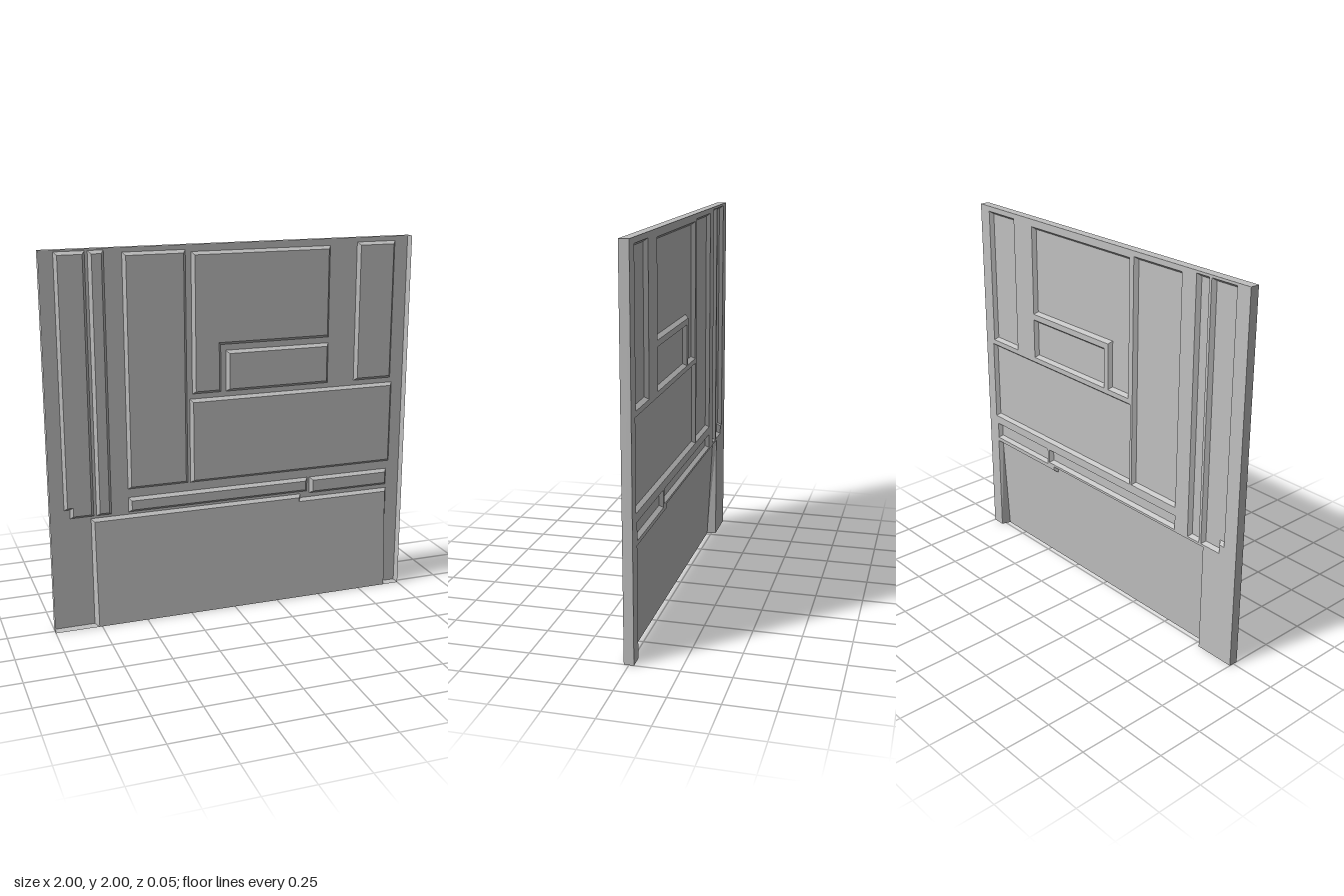
import * as THREE from 'three';

const BACK = -0.025, FRONT = 0.025, RAISED = -0.005, BEVEL = 0.015;

const rect = (x0, x1, y0, y1) => [[x0, y0], [x1, y0], [x1, y1], [x0, y1]];

// Counter-clockwise outlines of the pressed panels
const PANELS = {
  tallNotchedPanel: [[-0.89, 0.61], [-0.765, 0.61], [-0.765, 1.987], [-0.92, 1.987], [-0.92, 0.658], [-0.89, 0.658]],
  tallNarrowPanel: rect(-0.75, -0.67, 0.61, 1.987),
  tallWidePanel: rect(-0.578, -0.25, 0.737, 1.972),
  steppedUpperPanel: [[-0.22, 1.22], [-0.063, 1.22], [-0.063, 1.472], [0.548, 1.472], [0.548, 1.96], [-0.22, 1.96]],
  smallCentrePanel: rect(-0.035, 0.548, 1.22, 1.44),
  wideMiddlePanel: rect(-0.235, 0.936, 0.736, 1.193),
  tallSidePanel: rect(0.703, 0.925, 1.22, 1.972),
  longStripPanel: rect(-0.578, 0.438, 0.61, 0.69),
  shortStripPanel: rect(0.452, 0.922, 0.597, 0.69),
};
// Lower panel is open along the floor and leans forward
const LOWER = [[-0.78, 0], [0.925, 0], [0.925, 0.575], [0.4, 0.575], [0.4, 0.597], [-0.78, 0.597]];

const toVectors = (pts) => pts.map(([x, y]) => new THREE.Vector2(x, y));

// Move every edge of a right-angled outline inward by d
function inset(pts, d) {
  const n = pts.length;
  const normal = (a, b) => {
    const dx = b[0] - a[0], dy = b[1] - a[1], l = Math.hypot(dx, dy);
    return [-dy / l, dx / l];
  };
  return pts.map((p, i) => {
    const n1 = normal(pts[(i + n - 1) % n], p), n2 = normal(p, pts[(i + 1) % n]);
    return [p[0] + d * (n1[0] + n2[0]), p[1] + d * (n1[1] + n2[1])];
  });
}

// Separate four-cornered faces, each a list of [x, y, z]
function quads(list) {
  const g = new THREE.BufferGeometry();
  const v = list.flatMap(([a, b, c, d]) => [a, b, c, a, c, d]).flat();
  g.setAttribute('position', new THREE.Float32BufferAttribute(v, 3));
  g.computeVertexNormals();
  return g;
}

export function createModel() {
  const group = new THREE.Group();
  group.name = 'panelledWall';
  const grey = new THREE.MeshStandardMaterial({ color: 0xc0c0c0, side: THREE.DoubleSide });
  grey.name = 'plain grey';
  const add = (name, geometry, parent = group) => {
    const mesh = new THREE.Mesh(geometry, grey);
    mesh.name = name;
    parent.add(mesh);
  };

  // Back sheet, cut out behind each panel
  const [l0, l1, l2, l3, l4, l5] = LOWER;
  const sheet = new THREE.Shape(toVectors([[-1, 0], l0, l5, l4, l3, l2, l1, [1, 0], [1, 2], [-1, 2]]));
  for (const pts of Object.values(PANELS)) sheet.holes.push(new THREE.Path(toVectors(pts)));
  add('backSheet', new THREE.ShapeGeometry(sheet).translate(0, 0, BACK));

  // Raised face with sloping walls
  function addPanel(name, outer, zAt, openBottom) {
    const panel = new THREE.Group();
    panel.name = name;
    group.add(panel);
    const inner = inset(outer, BEVEL);
    if (openBottom) inner[0][1] = inner[1][1] = 0;
    const face = new THREE.ShapeGeometry(new THREE.Shape(toVectors(inner)));
    const pos = face.attributes.position;
    for (let i = 0; i < pos.count; i++) pos.setZ(i, zAt(pos.getY(i)));
    face.computeVertexNormals();
    add(name + 'Face', face, panel);
    const walls = [];
    outer.forEach((p, i) => {
      if (openBottom && i === 0) return;
      const j = (i + 1) % outer.length;
      const a = inner[i], b = inner[j];
      walls.push([[...p, BACK], [...outer[j], BACK], [...b, zAt(b[1])], [...a, zAt(a[1])]]);
    });
    add(name + 'Walls', quads(walls), panel);
  }
  for (const [name, pts] of Object.entries(PANELS)) addPanel(name, pts, () => RAISED, false);
  addPanel('lowerPanel', LOWER, (y) => FRONT + (RAISED - FRONT) * (y / 0.582), true);

  // Rim around the edge, with the floor side broken by the lower panel
  add('rim', quads([
    [[-1, 0, BACK], [-1, 0, FRONT], [-1, 2, FRONT], [-1, 2, BACK]],
    [[1, 0, FRONT], [1, 0, BACK], [1, 2, BACK], [1, 2, FRONT]],
    [[-1, 2, FRONT], [1, 2, FRONT], [1, 2, BACK], [-1, 2, BACK]],
    [[-1, 0, BACK], [l0[0], 0, BACK], [l0[0] + BEVEL, 0, FRONT], [-1, 0, FRONT]],
    [[l1[0], 0, BACK], [1, 0, BACK], [1, 0, FRONT], [l1[0] - BEVEL, 0, FRONT]],
  ]));
  return group;
}
